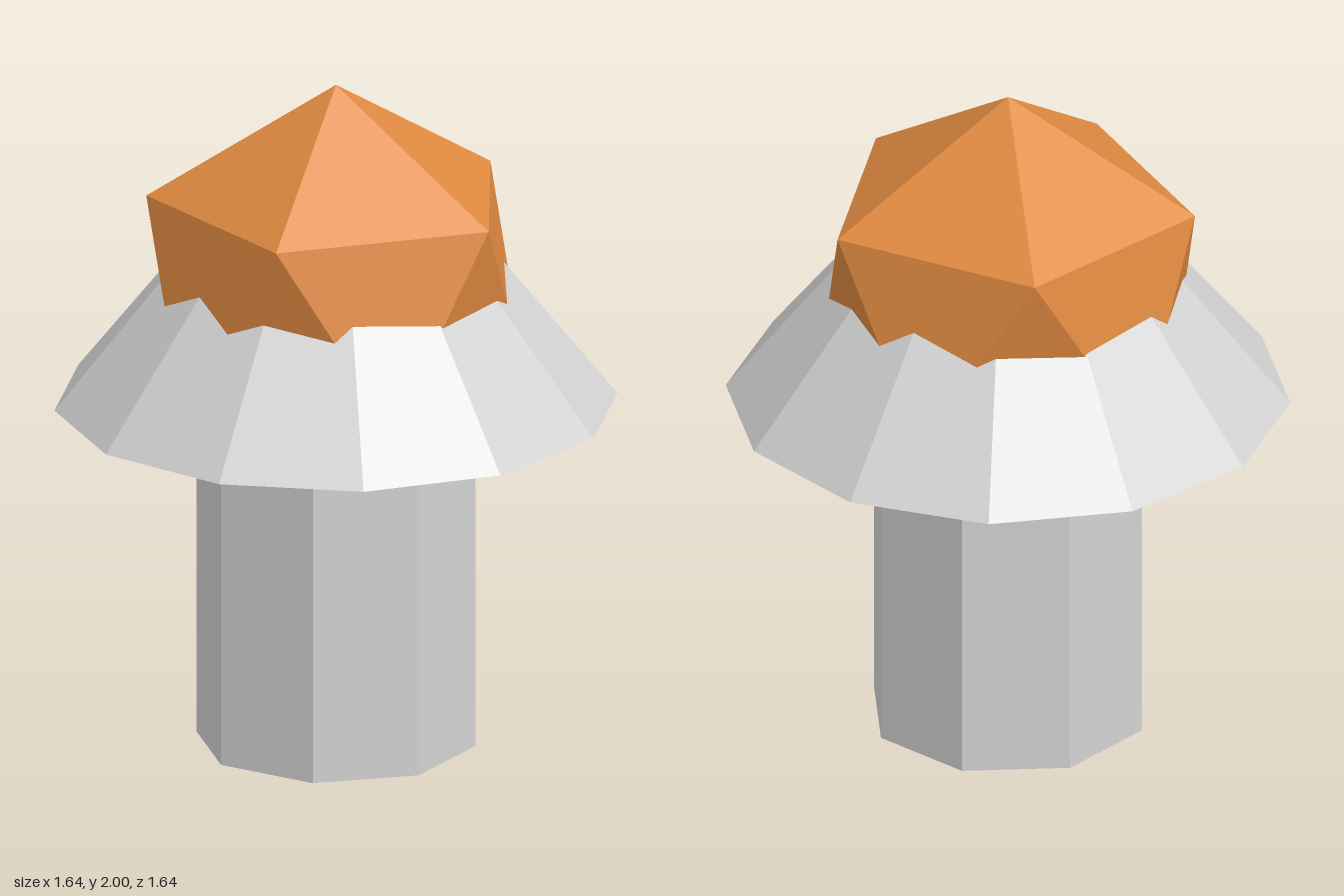
import * as THREE from 'three';
import { ConvexGeometry } from 'three/addons/geometries/ConvexGeometry.js';

export function createModel() {
  const model = new THREE.Group();
  const stone = new THREE.MeshStandardMaterial({ color: 0xd3d3d3, flatShading: true });
  stone.name = 'pale grey stone';
  const amber = new THREE.MeshStandardMaterial({ color: 0xe08a40, flatShading: true });
  amber.name = 'orange crystal';

  function add(name, geometry, material, y) {
    const mesh = new THREE.Mesh(geometry, material);
    mesh.name = name;
    mesh.position.y = y;
    model.add(mesh);
  }

  // Octagonal column
  const columnHeight = 1.03;
  add('column', new THREE.CylinderGeometry(0.41, 0.41, columnHeight, 8), stone, columnHeight / 2);

  // Twelve-sided flared collar
  const collarHeight = 0.51;
  add('collar', new THREE.CylinderGeometry(0.41, 0.82, collarHeight, 12), stone, columnHeight + collarHeight / 2);

  // Icosahedral crystal standing on a vertex: two poles and two staggered rings
  const radius = 0.615;
  const points = [new THREE.Vector3(0, radius, 0), new THREE.Vector3(0, -radius, 0)];
  const ringY = radius / Math.sqrt(5);
  for (let i = 0; i < 10; i++) {
    const angle = (i * Math.PI) / 5;
    const y = i % 2 === 0 ? ringY : -ringY;
    points.push(new THREE.Vector3(2 * ringY * Math.cos(angle), y, 2 * ringY * Math.sin(angle)));
  }
  add('crystal', new ConvexGeometry(points), amber, 2 - radius);

  return model;
}
